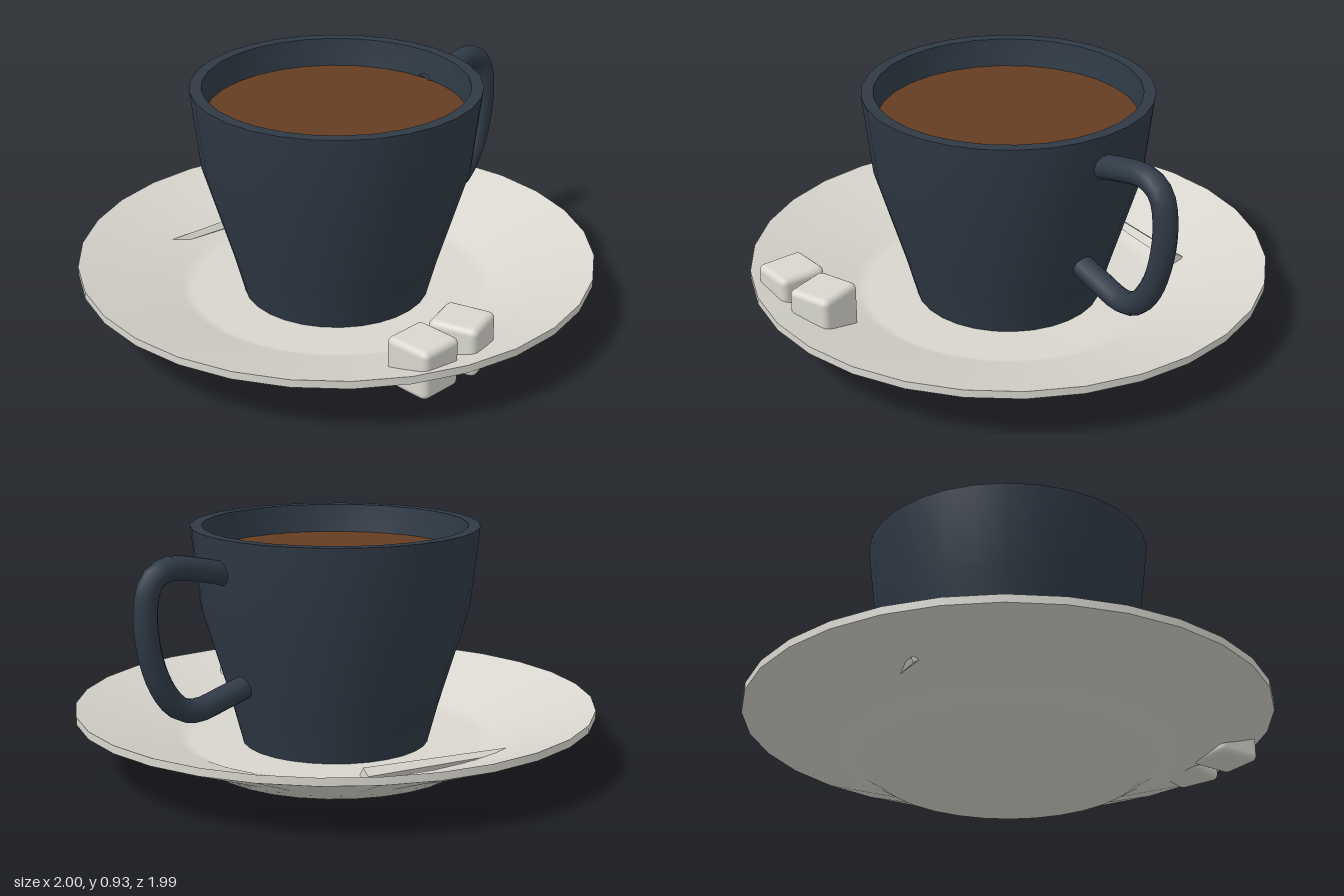
import * as THREE from 'three';
import { RoundedBoxGeometry } from 'three/addons/geometries/RoundedBoxGeometry.js';

const mat = (name, color) => {
  const m = new THREE.MeshStandardMaterial({ color });
  m.name = name;
  return m;
};

export function createModel() {
  const porcelain = mat('porcelain', 0xd8d6ce);
  const glaze = mat('darkGlaze', 0x2f3a46);
  const coffeeBrown = mat('coffeeBrown', 0x643d22);

  const add = (parent, name, geometry, material) => {
    const mesh = new THREE.Mesh(geometry, material);
    mesh.name = name;
    parent.add(mesh);
    return mesh;
  };
  const group = (parent, name) => {
    const g = new THREE.Group();
    g.name = name;
    parent.add(g);
    return g;
  };
  // Each turned surface is smooth in itself; separate surfaces meet at sharp edges
  const turned = (parent, name, profile, material) => add(parent, name,
    new THREE.LatheGeometry(profile.map(p => new THREE.Vector2(...p)), 30, Math.PI / 2), material);

  const model = new THREE.Group();
  model.name = 'coffeeCupOnSaucer';

  // Saucer
  const saucer = group(model, 'saucer');
  turned(saucer, 'saucerUnderside', [[0, 0], [0.5, 0], [0.58, 0.05], [1, 0.21]], porcelain);
  turned(saucer, 'saucerRim', [[1, 0.21], [1, 0.24]], porcelain);
  turned(saucer, 'saucerTop', [[1, 0.24], [0.61, 0.11], [0.56, 0.09], [0, 0.09]], porcelain);

  // Cup
  const cup = group(model, 'cup');
  turned(cup, 'cupOutside', [[0.36, 0.09], [0.4, 0.24], [0.515, 0.62], [0.55, 0.93]], glaze);
  turned(cup, 'cupRim', [[0.55, 0.93], [0.505, 0.93]], glaze);
  turned(cup, 'cupInside', [[0.505, 0.93], [0.475, 0.62], [0.36, 0.25], [0, 0.2]], glaze);

  // Coffee surface
  const coffee = add(model, 'coffee', new THREE.CircleGeometry(0.495, 30), coffeeBrown);
  coffee.rotation.x = -Math.PI / 2;
  coffee.position.y = 0.82;

  // Handle
  const path = new THREE.CatmullRomCurve3([
    [0.49, 0.79], [0.6, 0.82], [0.76, 0.842], [0.828, 0.8], [0.854, 0.66],
    [0.81, 0.45], [0.73, 0.335], [0.65, 0.308], [0.52, 0.337], [0.4, 0.37],
  ].map(([x, y]) => new THREE.Vector3(x, y, 0)));
  add(cup, 'handle', new THREE.TubeGeometry(path, 32, 0.045, 10), glaze);

  // Sugar cubes
  const sugar = group(model, 'sugarCubes');
  [[-0.35, 0.775, 0], [-0.14, 0.77, 0.3]].forEach(([x, z, turn], i) => {
    const cube = add(sugar, 'sugarCube' + (i + 1),
      new RoundedBoxGeometry(0.18, 0.19, 0.19, 3, 0.025), porcelain);
    cube.position.set(x, 0.203, z);
    cube.rotation.y = turn;
  });

  // Stirring stick, half sunk in the saucer, narrowing to one end
  const stick = new THREE.BoxGeometry(0.77, 0.04, 0.042);
  stick.rotateX(-0.6);
  const p = stick.attributes.position;
  for (let i = 0; i < p.count; i++) {
    if (p.getX(i) < 0) p.setXYZ(i, p.getX(i), p.getY(i) * 0.5, p.getZ(i) * 0.5);
  }
  stick.computeVertexNormals();
  const stirrer = add(model, 'stirringStick', stick, porcelain);
  stirrer.position.set(-0.04, 0.136, -0.636);
  stirrer.rotation.set(0, -0.125, 0.02);

  return model;
}
